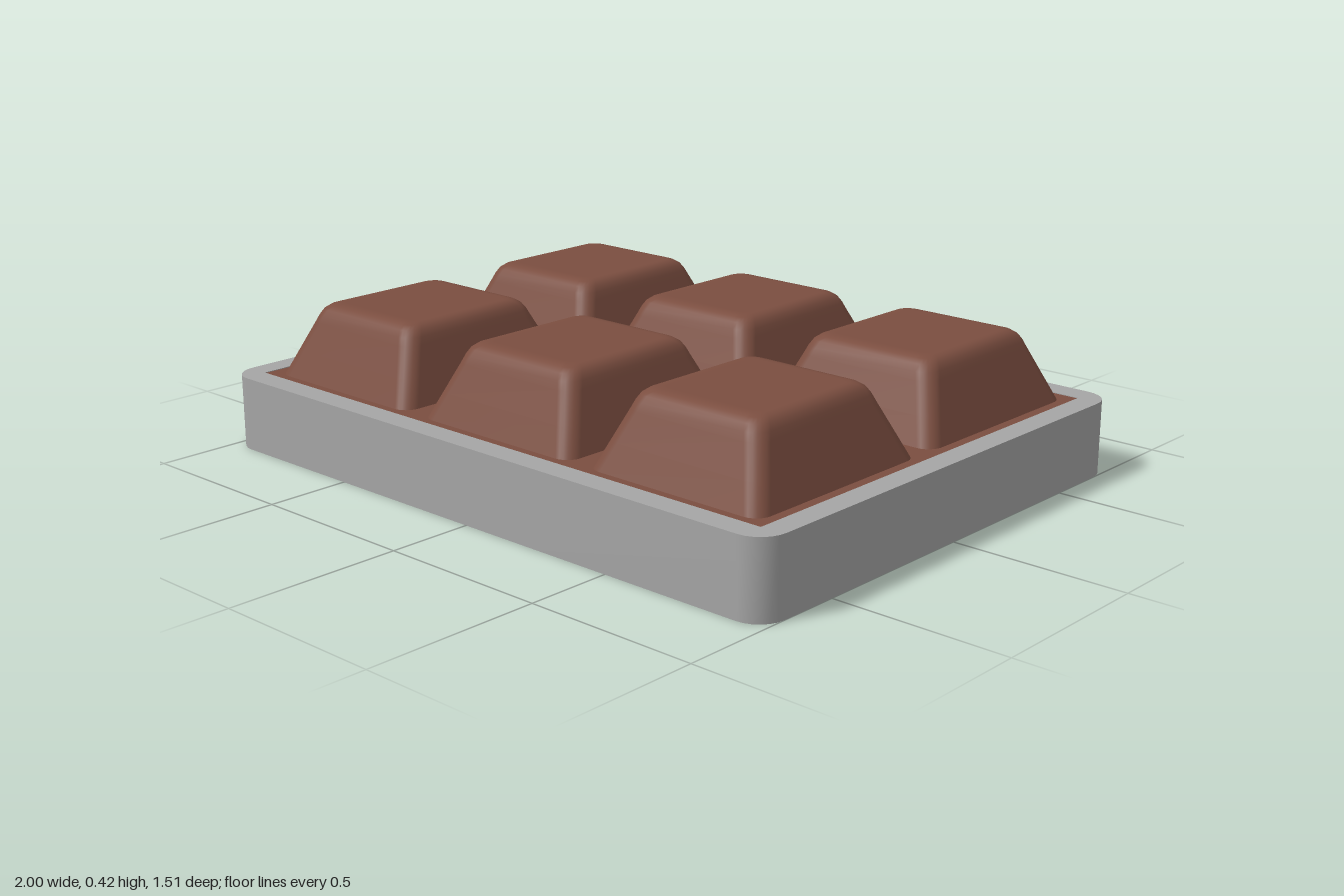
import * as THREE from 'three';

const CORNER_STEPS = 6;

// Points of a rounded rectangle, in x and z
function roundedRect(halfX, halfZ, radius) {
  const points = [];
  for (let corner = 0; corner < 4; corner++) {
    const sx = corner === 0 || corner === 3 ? 1 : -1;
    const sz = corner < 2 ? 1 : -1;
    for (let i = 0; i <= CORNER_STEPS; i++) {
      const a = (corner + i / CORNER_STEPS) * Math.PI / 2;
      points.push(new THREE.Vector2(
        sx * (halfX - radius) + radius * Math.cos(a),
        sz * (halfZ - radius) + radius * Math.sin(a)));
    }
  }
  return points;
}

// Skin over stacked rings { points, y }, with an optional flat cap
function loft(rings, capped) {
  const positions = [], index = [], n = rings[0].points.length;
  rings.forEach(({ points, y }) => points.forEach(p => positions.push(p.x, y, p.y)));
  for (let r = 0; r < rings.length - 1; r++) {
    for (let i = 0; i < n; i++) {
      const a = r * n + i, b = r * n + (i + 1) % n;
      index.push(a, a + n, b, b, a + n, b + n);
    }
  }
  if (capped) {
    const last = (rings.length - 1) * n, centre = rings.length * n;
    positions.push(0, rings[rings.length - 1].y, 0);
    for (let i = 0; i < n; i++) index.push(centre, last + (i + 1) % n, last + i);
  }
  const geometry = new THREE.BufferGeometry();
  geometry.setAttribute('position', new THREE.Float32BufferAttribute(positions, 3));
  geometry.setIndex(index);
  geometry.computeVertexNormals();
  return geometry;
}

export function createModel() {
  const chocolate = new THREE.MeshStandardMaterial({ color: 0x7b4e40 });
  chocolate.name = 'chocolate brown';
  const foil = new THREE.MeshStandardMaterial({ color: 0xa5a5a5, side: THREE.DoubleSide });
  foil.name = 'foil grey';

  const model = new THREE.Group();
  model.name = 'chocolateBar';
  const add = (name, geometry, material, x = 0, y = 0, z = 0) => {
    const mesh = new THREE.Mesh(geometry, material);
    mesh.name = name;
    mesh.position.set(x, y, z);
    model.add(mesh);
  };

  // Solid slab under the pieces
  const slabX = 0.932, slabZ = 0.685, rimY = 0.214;
  add('slab', new THREE.BoxGeometry(slabX * 2, 0.21, slabZ * 2), chocolate, 0, 0.107, 0);

  // Wrapper: a thin outer wall, open below, with a flat rim
  const outline = roundedRect(1, 0.756, 0.08);
  add('wrapperWall', loft([{ points: outline, y: 0 }, { points: outline, y: rimY }]), foil);
  const rim = new THREE.Shape(outline);
  rim.holes.push(new THREE.Path([
    new THREE.Vector2(-slabX, -slabZ), new THREE.Vector2(-slabX, slabZ),
    new THREE.Vector2(slabX, slabZ), new THREE.Vector2(slabX, -slabZ)]));
  add('wrapperRim', new THREE.ShapeGeometry(rim).rotateX(-Math.PI / 2), foil, 0, rimY, 0);

  // Pieces: tapered blocks with softened top edges; rows are [inset, y, corner radius]
  const profile = [
    [0, 0.21, 0.045], [0.03, 0.285, 0.045], [0.062, 0.365, 0.045], [0.07, 0.386, 0.045],
    [0.08, 0.403, 0.042], [0.094, 0.414, 0.038], [0.11, 0.418, 0.03], [0.125, 0.418, 0.025]];
  const piece = loft(profile.map(([inset, y, radius]) => ({
    points: roundedRect(0.28 - inset, 0.315 - inset * 1.15, radius), y })), true);
  for (const z of [-0.343, 0.343]) {
    for (const x of [-0.622, 0, 0.622]) add('piece', piece, chocolate, x, 0, z);
  }
  return model;
}
